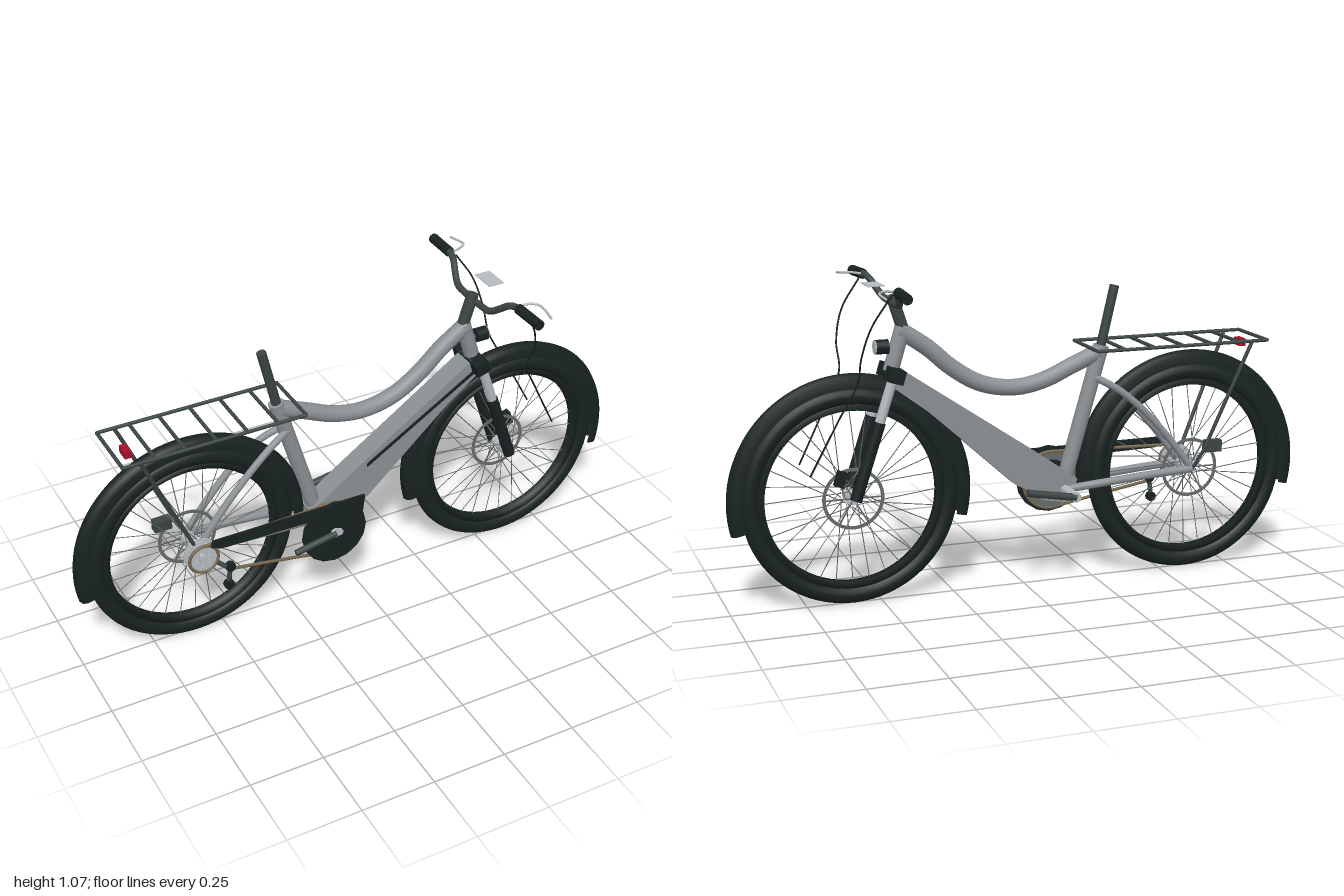
import * as THREE from 'three';
import { mergeGeometries } from 'three/addons/utils/BufferGeometryUtils.js';

const mat = (name, color, side = THREE.FrontSide) =>
  Object.assign(new THREE.MeshStandardMaterial({ color, side }), { name });
const V = (p) => new THREE.Vector3(...p);

export function createModel() {
  const black = mat('rubber black', 0x182221, THREE.DoubleSide);
  const trim = mat('dark trim', 0x3b4543);
  const paint = mat('frame grey', 0x8b9093);
  const silver = mat('silver', 0xb6babe);
  const steel = mat('spoke steel', 0x666a6a);
  const glass = mat('pale glass', 0xb4bcbf);
  const red = mat('lamp red', 0xa81228);
  const brass = mat('chain brown', 0x75664c);

  const bike = new THREE.Group();
  bike.name = 'bicycle';
  const add = (name, geo, m, parent = bike) => {
    const mesh = new THREE.Mesh(geo, m);
    mesh.name = name;
    parent.add(mesh);
    return mesh;
  };
  // straight round bar between two points
  const rodGeo = (a, b, r, seg = 16) => {
    const d = V(b).sub(V(a));
    const g = new THREE.CylinderGeometry(r, r, d.length(), seg);
    g.applyQuaternion(new THREE.Quaternion().setFromUnitVectors(new THREE.Vector3(0, 1, 0), d.clone().normalize()));
    const c = V(a).addScaledVector(d, 0.5);
    return g.translate(c.x, c.y, c.z);
  };
  const rod = (name, a, b, r, m, parent) => add(name, rodGeo(a, b, r), m, parent);
  const tube = (name, pts, r, m, n = 40, seg = 12) =>
    add(name, new THREE.TubeGeometry(new THREE.CatmullRomCurve3(pts.map(V)), n, r, seg), m);
  const box = (name, size, at, m, tilt = 0) => {
    const b = add(name, new THREE.BoxGeometry(...size), m);
    b.position.set(...at);
    b.rotation.z = tilt;
    return b;
  };
  // profile of [radius, z] turned about the z axis
  const turned = (pts, seg = 64, start = 0, len = Math.PI * 2) =>
    new THREE.LatheGeometry(pts.map((p) => new THREE.Vector2(...p)), seg, start, len).rotateX(Math.PI / 2);
  // flat side outline extruded through z
  const plate = (pts, depth, z) => {
    const s = new THREE.Shape(pts.map((p) => new THREE.Vector2(...p)));
    return new THREE.ExtrudeGeometry(s, { depth, bevelEnabled: false }).translate(0, 0, z - depth / 2);
  };
  // flat ring with spider arms
  const spiderRing = (rIn, rOut, depth, z, arms, hub, armWidth) => {
    const s = new THREE.Shape().absarc(0, 0, rOut, 0, Math.PI * 2);
    s.holes.push(new THREE.Path().absarc(0, 0, rIn, 0, Math.PI * 2, true));
    const parts = [new THREE.ExtrudeGeometry(s, { depth, bevelEnabled: false, curveSegments: 24 })
      .translate(0, 0, z - depth / 2).toNonIndexed()];
    for (let i = 0; i < arms; i++) {
      const g = new THREE.BoxGeometry(rIn - hub + 0.006, armWidth, depth);
      g.translate((rIn + hub) / 2, 0, z).rotateZ((i / arms) * Math.PI * 2);
      parts.push(g.toNonIndexed());
    }
    return mergeGeometries(parts);
  };

  const RX = -0.595, FX = 0.595, AY = 0.362;
  const rad = Math.PI / 180;

  // wheels with fenders
  const wheel = (name, x, endAngle) => {
    const w = new THREE.Group();
    w.name = name;
    w.position.set(x, AY, 0);
    bike.add(w);
    const tyre = [];
    for (let i = 0; i <= 16; i++) {
      const a = (i / 16) * Math.PI * 2;
      tyre.push([0.332 + 0.03 * Math.cos(a), 0.028 * Math.sin(a)]);
    }
    add('tyre', turned(tyre, 72), black, w);
    add('rim', turned([[0.286, -0.012], [0.31, -0.017], [0.31, 0.017], [0.286, 0.012], [0.286, -0.012]], 72), black, w);
    const spokes = [];
    for (let i = 0; i < 32; i++) {
      const a = (i / 32) * Math.PI * 2, s = i % 2 ? 1 : -1;
      const h = a + (i % 4 < 2 ? 1 : -1) * 0.9;
      spokes.push(rodGeo([0.028 * Math.cos(h), 0.028 * Math.sin(h), s * 0.028],
        [0.288 * Math.cos(a), 0.288 * Math.sin(a), 0], 0.0016, 4));
    }
    add('spokes', mergeGeometries(spokes), steel, w);
    rod('hub', [0, 0, -0.034], [0, 0, 0.034], 0.022, silver, w);
    rod('axle', [0, 0, -0.062], [0, 0, 0.062], 0.01, silver, w);
    add('brakeRotor', spiderRing(0.092, 0.103, 0.003, -0.033, 6, 0.015, 0.005), steel, w);
    add('fender', turned([[0.36, -0.028], [0.385, -0.027], [0.4, -0.019], [0.407, 0], [0.4, 0.019],
      [0.385, 0.027], [0.36, 0.028]], 56, (endAngle + 90) * rad, (194 - endAngle) * rad), black, w);
    return w;
  };
  const rear = wheel('rearWheel', RX, -4);
  wheel('frontWheel', FX, -14);

  // frame
  tube('topTube', [[0.425, 0.9, 0], [0.33, 0.835, 0], [0.25, 0.765, 0], [0.15, 0.705, 0], [0.035, 0.683, 0],
    [-0.07, 0.7, 0], [-0.17, 0.742, 0], [-0.265, 0.782, 0]], 0.028, paint, 48, 16);
  rod('seatTube', [-0.14, 0.33, 0], [-0.277, 0.805, 0], 0.026, paint);
  rod('seatPost', [-0.272, 0.79, 0], [-0.322, 1.005, 0], 0.016, trim);
  rod('headTube', [0.455, 0.765, 0], [0.412, 0.908, 0], 0.026, paint);
  add('downBeam', plate([[-0.18, 0.36], [-0.15, 0.28], [-0.06, 0.295], [-0.005, 0.335], [0.04, 0.357], [0.24, 0.54],
    [0.34, 0.63], [0.465, 0.725], [0.43, 0.777], [-0.03, 0.465]], 0.076, 0), paint);
  add('beamStripe', plate([[0.035, 0.478], [0.45, 0.733], [0.45, 0.745], [0.035, 0.49]], 0.004, 0.04), black);
  for (const s of [1, -1]) {
    tube('seatStay', [[-0.245, 0.7, s * 0.015], [-0.32, 0.66, s * 0.033], [-0.41, 0.585, s * 0.044],
      [-0.51, 0.475, s * 0.047], [RX, AY, s * 0.05]], 0.012, paint, 28);
    tube('chainStay', [[-0.14, 0.325, s * 0.03], [-0.25, 0.338, s * 0.045], [-0.42, 0.352, s * 0.05],
      [RX, AY, s * 0.052]], 0.014, paint, 24);
  }

  // fork
  box('forkCrown', [0.05, 0.045, 0.156], [0.452, 0.76, 0], black, 0.3);
  for (const s of [1, -1]) {
    const z = s * 0.053;
    rod('forkStanchion', [0.462, 0.75, z], [0.515, 0.59, z], 0.0165, silver);
    rod('forkLower', [0.508, 0.612, z], [0.592, 0.36, z], 0.02, black);
  }
  box('frontCaliper', [0.03, 0.05, 0.025], [0.64, 0.435, -0.048], black, 0.3);
  box('rearCaliper', [0.06, 0.04, 0.03], [-0.675, 0.435, -0.045], trim);

  // steering
  rod('stem', [0.413, 0.905, 0], [0.447, 1.012, 0], 0.02, trim);
  const side = [[0.447, 0.99, 0.04], [0.45, 0.995, 0.1], [0.462, 1.02, 0.14], [0.475, 1.046, 0.175],
    [0.483, 1.054, 0.21], [0.488, 1.052, 0.32]];
  const mirror = (p) => [p[0], p[1], -p[2]];
  tube('handlebar', [...side.map(mirror).reverse(), ...side], 0.0115, trim, 80);
  for (const s of [1, -1]) {
    const m = (pts) => pts.map((p) => [p[0], p[1], p[2] * s]);
    rod('grip', ...m([[0.484, 1.053, 0.215], [0.489, 1.05, 0.332]]), 0.017, black);
    tube('brakeLever', m([[0.49, 1.055, 0.205], [0.525, 1.06, 0.215], [0.55, 1.058, 0.235], [0.547, 1.048, 0.315]]),
      0.004, silver, 24, 8);
    tube('brakeCable', m([[0.5, 1.045, 0.2], [0.565, 0.945, 0.19], [0.592, 0.845, 0.162], [0.595, 0.755, 0.12],
      [0.65, 0.645, 0.098], [0.745, 0.46, 0.08]]), 0.003, black, 48, 6);
  }
  box('display', [0.055, 0.003, 0.09], [0.508, 1.05, 0], glass);

  // headlight
  rod('headlight', [0.462, 0.847, 0], [0.504, 0.847, 0], 0.024, black);
  rod('headlightLens', [0.503, 0.847, 0], [0.508, 0.847, 0], 0.0225, glass);
  rod('headlightBracket', [0.43, 0.835, 0], [0.47, 0.845, 0], 0.008, trim);

  // rack
  const ry = 0.805, rz = 0.108;
  for (const s of [1, -1]) {
    rod('rackRail', [-0.842, ry, s * rz], [-0.222, ry, s * rz], 0.006, trim);
    rod('rackLeg', [-0.785, ry, s * rz], [-0.625, 0.43, s * 0.082], 0.0065, trim);
    rod('rackFoot', [-0.625, 0.43, s * 0.082], [RX, AY, s * 0.058], 0.006, trim);
  }
  for (const x of [-0.842, -0.735, -0.635, -0.53, -0.425, -0.32, -0.222])
    rod('rackBar', [x, ry, -rz], [x, ry, rz], 0.006, trim);
  box('tailLight', [0.022, 0.026, 0.046], [-0.792, 0.785, 0], red);

  // chain guard
  const BX = -0.135, BY = 0.325;
  rod('crankAxle', [BX, BY, -0.145], [BX, BY, 0.138], 0.017, silver);
  rod('chainGuardDisc', [BX, BY, 0.117], [BX, BY, 0.131], 0.116, black);
  add('chainGuardBar', plate([[-0.575, 0.415], [-0.53, 0.402], [-0.22, 0.395], [-0.03, 0.36], [-0.02, 0.435],
    [-0.57, 0.438]], 0.01, 0.122), black);

  // chainring, sprockets and the chain wrapped over both
  const CZ = 0.102;
  add('chainring', spiderRing(0.072, 0.096, 0.008, CZ, 5, 0.012, 0.016), steel).position.set(BX, BY, 0);
  const wrap = (name, x, y, r) =>
    add(name, new THREE.TorusGeometry(r, 0.0055, 8, 48), brass).position.set(x, y, CZ);
  wrap('chainOnRing', BX, BY, 0.1);
  wrap('chainOnSprocket', RX, AY, 0.05);
  for (let i = 0; i < 4; i++)
    add('sprocket', spiderRing(0.03, 0.058 - i * 0.003, 0.004, 0.068 + i * 0.011, 5, 0.01, 0.012), silver, rear);
  rod('sprocketHub', [0, 0, 0.03], [0, 0, 0.107], 0.016, silver, rear);
  rod('chainUpper', [BX, BY + 0.1, CZ], [RX, AY + 0.05, CZ], 0.0055, brass);
  tube('chainLower', [[BX, BY - 0.1, CZ], [-0.32, 0.258, CZ], [-0.5, 0.288, CZ]], 0.0055, brass, 12, 6);

  // derailleur
  rod('derailleurHanger', [RX, AY, 0.07], [-0.515, 0.3, CZ], 0.008, trim);
  rod('derailleurCage', [-0.505, 0.3, CZ], [-0.513, 0.23, CZ], 0.008, trim);
  for (const [x, y] of [[-0.505, 0.3], [-0.513, 0.23]])
    rod('jockeyWheel', [x, y, CZ - 0.008], [x, y, CZ + 0.01], 0.017, black);

  // cranks
  rod('crankCap', [BX + 0.015, BY, 0.13], [BX + 0.015, BY, 0.14], 0.012, silver);
  rod('rightCrank', [BX, BY, 0.138], [-0.285, 0.298, 0.14], 0.011, trim);
  rod('leftCrank', [BX, BY, -0.138], [0.035, 0.355, -0.138], 0.0125, trim);
  return bike;
}
